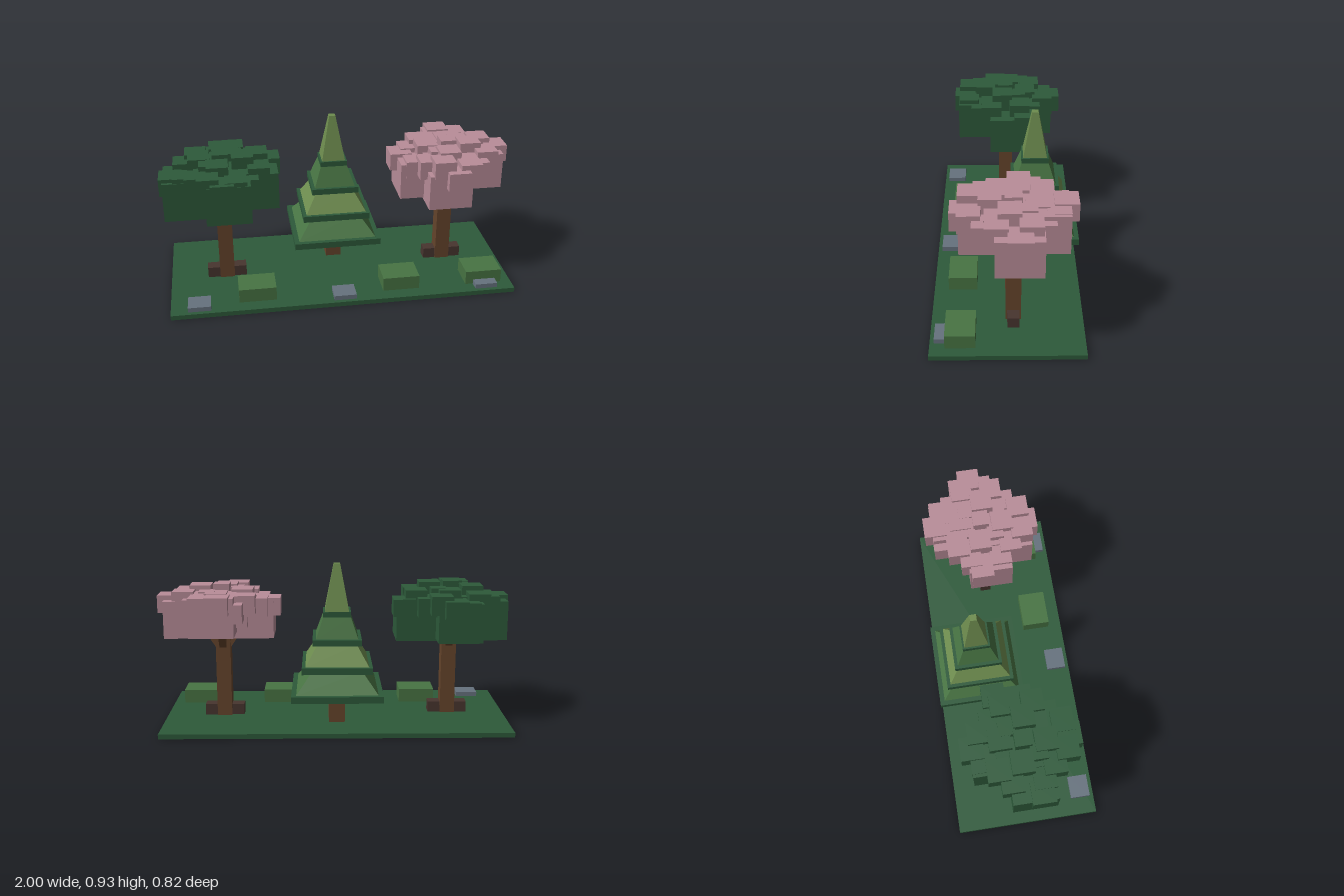
import * as THREE from 'three';

const mat = (name, color) => {
  const m = new THREE.MeshStandardMaterial({ color });
  m.name = name;
  return m;
};

export function createModel() {
  const darkGreen = mat('dark green', 0x2d5a3a);
  const midGreen = mat('mid green', 0x487443);
  const lightGreen = mat('light green', 0x6e8d4f);
  const pink = mat('blossom pink', 0xb98d99);
  const bark = mat('bark brown', 0x66452c);
  const rootBrown = mat('root brown', 0x48352f);
  const stoneGrey = mat('stone grey', 0x66727e);

  const model = new THREE.Group();
  model.name = 'treeScene';

  // Box given by its limits on each axis
  const box = (parent, name, material, x0, x1, y0, y1, z0, z1) => {
    const mesh = new THREE.Mesh(new THREE.BoxGeometry(x1 - x0, y1 - y0, z1 - z0), material);
    mesh.position.set((x0 + x1) / 2, (y0 + y1) / 2, (z0 + z1) / 2);
    mesh.name = name;
    parent.add(mesh);
    return mesh;
  };
  // Square block given by centre, half width and height range
  const block = (parent, name, material, x, z, half, y0, y1) =>
    box(parent, name, material, x - half, x + half, y0, y1, z - half, z + half);

  // Four-sided tapered tier with flat faces
  const tier = (parent, name, material, y0, y1, half0, half1) => {
    const g = new THREE.CylinderGeometry(half1 * Math.SQRT2, half0 * Math.SQRT2, y1 - y0, 4, 1)
      .rotateY(Math.PI / 4).toNonIndexed();
    g.computeVertexNormals();
    const mesh = new THREE.Mesh(g, material);
    mesh.position.y = (y0 + y1) / 2;
    mesh.name = name;
    parent.add(mesh);
  };

  const groundTop = 0.027;
  box(model, 'ground', darkGreen, -0.985, 0.97, 0, groundTop, -0.405, 0.41);

  // Bushes and flat stones along the front
  for (const x of [-0.605, 0.215, 0.7])
    box(model, 'bush', midGreen, x, x + 0.21, groundTop, 0.107, 0.17, 0.33);
  for (const x of [-0.89, -0.075, 0.745])
    box(model, 'stone', stoneGrey, x, x + 0.127, groundTop, 0.054, 0.275, 0.387);

  // Pine: trunk, then a slab under each tapered tier
  const pine = new THREE.Group();
  pine.name = 'pineTree';
  pine.position.set(-0.01, 0, -0.158);
  model.add(pine);
  block(pine, 'pineTrunk', bark, 0, 0, 0.046, groundTop, 0.21);
  [ // slab bottom, slab top, slab half, tier top, tier half bottom, tier half top
    [0.2, 0.237, 0.252, 0.35, 0.225, 0.138],
    [0.345, 0.382, 0.194, 0.495, 0.175, 0.108],
    [0.49, 0.525, 0.135, 0.645, 0.117, 0.075],
    [0.64, 0.67, 0.077, 0.93, 0.067, 0.018],
  ].forEach(([y0, y1, half, top, h0, h1], i) => {
    block(pine, 'pineSlab', darkGreen, 0, 0, half, y0, y1);
    tier(pine, 'pineTier', i % 2 ? lightGreen : midGreen, y1, top, h0, h1);
  });

  // Blocky broadleaf tree; lobes and tips are [x, z, bottom, top]
  const leafTree = (name, x, z, material, lobes, tips, peak) => {
    const tree = new THREE.Group();
    tree.name = name;
    tree.position.set(x, 0, z);
    model.add(tree);

    block(tree, 'trunk', bark, 0, 0, 0.042, groundTop, 0.6);
    for (const s of [-1, 1]) {
      const r = block(tree, 'root', rootBrown, s * 0.077, 0, 0.035, groundTop, 0.09);
      r.scale.z = 0.92;
    }
    // Branches leaning outwards on all four sides
    for (let i = 0; i < 4; i++) {
      const pivot = new THREE.Group();
      pivot.name = 'branch';
      pivot.rotation.y = i * Math.PI / 2;
      const b = new THREE.Mesh(new THREE.BoxGeometry(0.04, 0.15, 0.04), bark);
      b.name = 'branchWood';
      b.position.set(0, 0.505, 0.07);
      b.rotation.x = 0.6;
      pivot.add(b);
      tree.add(pivot);
    }

    const crown = new THREE.Group();
    crown.name = 'crown';
    tree.add(crown);
    // Core and large lobes
    block(crown, 'crownCore', material, 0, 0, 0.15, 0.57, 0.735);
    for (const [lx, lz, y0, y1] of lobes) block(crown, 'largeLobe', material, lx, lz, 0.123, y0, y1);
    // Outermost small blocks on the four sides
    for (const [tx, tz, y0, y1] of tips) block(crown, 'tipBlock', material, tx, tz, 0.063, y0, y1);
    // Stepped diamond of small blocks between the tips
    let n = 0;
    for (const sx of [-1, 1]) for (const sz of [-1, 1])
      for (const [dx, dz] of [[0.075, 0.225], [0.14, 0.15], [0.205, 0.085]]) {
        const top = 0.725 + 0.012 * ((n++ * 3) % 5);
        block(crown, 'ringBlock', material, sx * dx, sz * dz, 0.06, top - 0.105, top);
      }
    // Raised inner blocks and the peak
    for (const [i, [dx, dz]] of [[0.12, 0.02], [-0.02, 0.12], [-0.12, -0.02], [0.02, -0.12]].entries())
      block(crown, 'innerBlock', material, dx, dz, 0.06, 0.66, peak - 0.008 * (i + 1));
    for (const s of [-1, 1])
      block(crown, 'innerBlock', material, s * 0.075, -s * 0.075, 0.045, 0.66, peak - 0.03);
    block(crown, 'peakBlock', material, 0, 0, 0.045, 0.66, peak);
  };

  leafTree('blossomTree', 0.64, -0.028, pink,
    [[0.192, -0.027, 0.51, 0.72], [-0.172, 0.02, 0.5, 0.71], [-0.035, 0.157, 0.487, 0.69], [0.035, -0.16, 0.54, 0.76]],
    [[0.292, -0.03, 0.645, 0.745], [-0.272, -0.03, 0.63, 0.73], [0, 0.262, 0.615, 0.72], [0, -0.265, 0.67, 0.77]],
    0.8);

  leafTree('greenTree', -0.66, 0.004, darkGreen,
    [[-0.2, 0.025, 0.475, 0.7], [0.192, -0.03, 0.485, 0.7], [0.03, 0.165, 0.503, 0.725], [-0.03, -0.16, 0.5, 0.72]],
    [[-0.277, 0.065, 0.62, 0.72], [0.272, -0.115, 0.63, 0.727], [0, 0.25, 0.645, 0.745], [0, -0.27, 0.64, 0.74]],
    0.81);

  return model;
}
